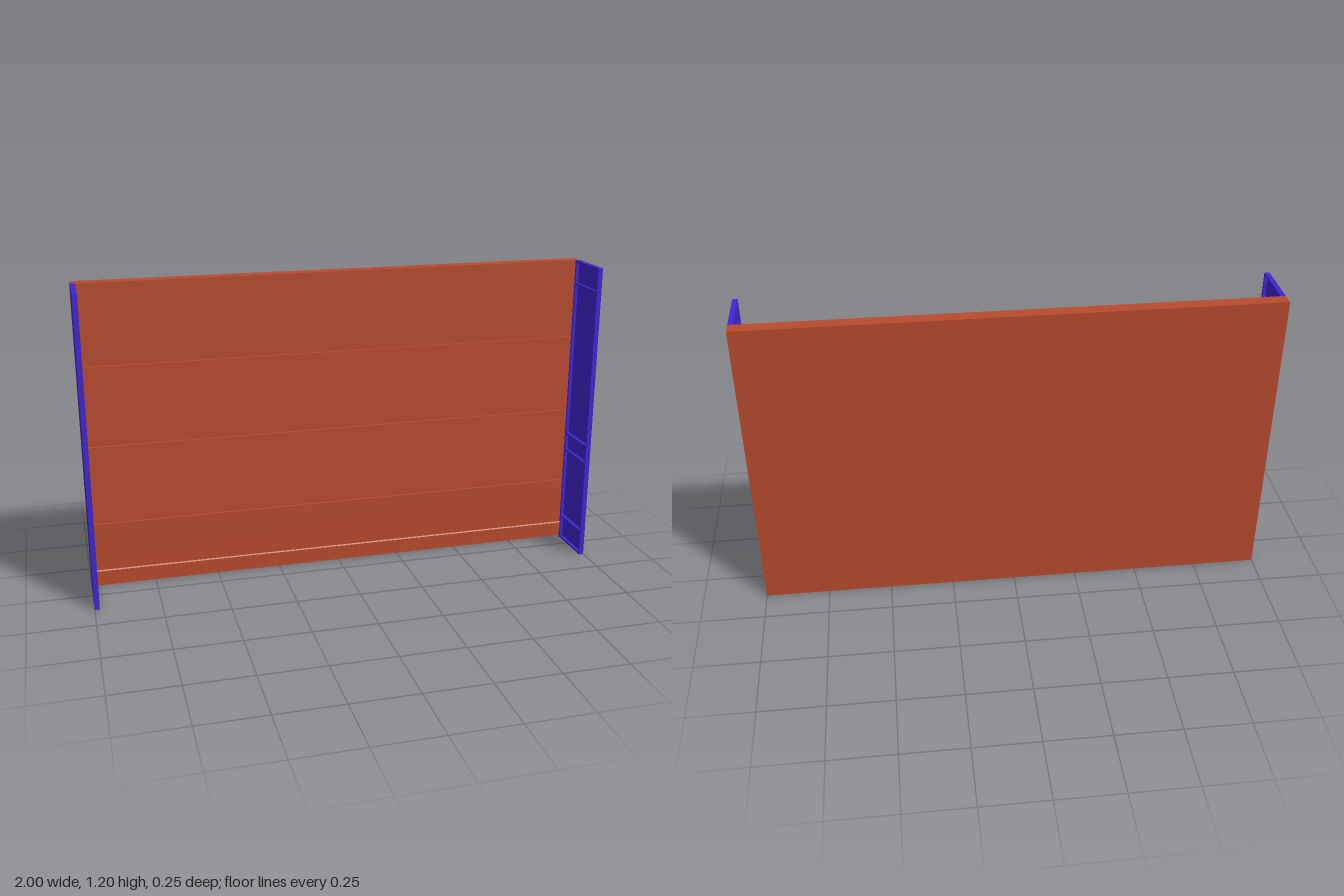
import * as THREE from 'three';

const H = 1.2, BACK = -0.125, FACE = -0.074, FRONT = 0.125;

export function createModel() {
  const model = new THREE.Group();
  model.name = 'wallPanel';
  const red = new THREE.MeshStandardMaterial({ color: 0xb84b2d });
  const blue = new THREE.MeshStandardMaterial({ color: 0x4026d2 });

  // Panel cross-section as [z, y]: rebated foot, drip lip and three board grooves
  const profile = [[BACK, H], [BACK, 0], [-0.086, 0], [-0.086, 0.042], [-0.07, 0.042], [-0.07, 0.066], [FACE, 0.07]];
  for (const y of [0.265, 0.577, 0.89]) {
    profile.push([FACE, y - 0.004], [FACE - 0.006, y - 0.003], [FACE - 0.006, y + 0.003], [FACE, y + 0.004]);
  }
  profile.push([FACE, H]);
  const shape = new THREE.Shape(profile.map(([z, y]) => new THREE.Vector2(-z, y)));
  const panelGeo = new THREE.ExtrudeGeometry(shape, { depth: 2, bevelEnabled: false });
  panelGeo.translate(0, 0, -1).rotateY(Math.PI / 2);
  const panel = new THREE.Mesh(panelGeo, red);
  panel.name = 'boardedPanel';
  model.add(panel);

  // Side posts: thin outer skin with flanges and cross ribs facing inwards
  const depth = FRONT - FACE, midZ = (FRONT + FACE) / 2;
  const skin = 0.006, width = 0.019, flange = 0.008;
  for (const side of [1, -1]) {
    const post = new THREE.Group();
    post.name = side > 0 ? 'leftPost' : 'rightPost';
    const add = (name, w, h, d, y, z) => {
      const mesh = new THREE.Mesh(new THREE.BoxGeometry(w, h, d), blue);
      mesh.name = name;
      mesh.position.set(side * (1 - w / 2), y, z);
      post.add(mesh);
    };
    add('outerSkin', skin, H, depth, H / 2, midZ);
    add('frontFlange', width, H, flange, H / 2, FRONT - flange / 2);
    add('backFlange', width, H, flange, H / 2, FACE + flange / 2);
    for (const y of [0.004, 0.1, 0.4, 0.472, 1.105, H - 0.004]) {
      add('crossRib', width, 0.008, depth - 2 * flange, y, midZ);
    }
    model.add(post);
  }
  return model;
}
